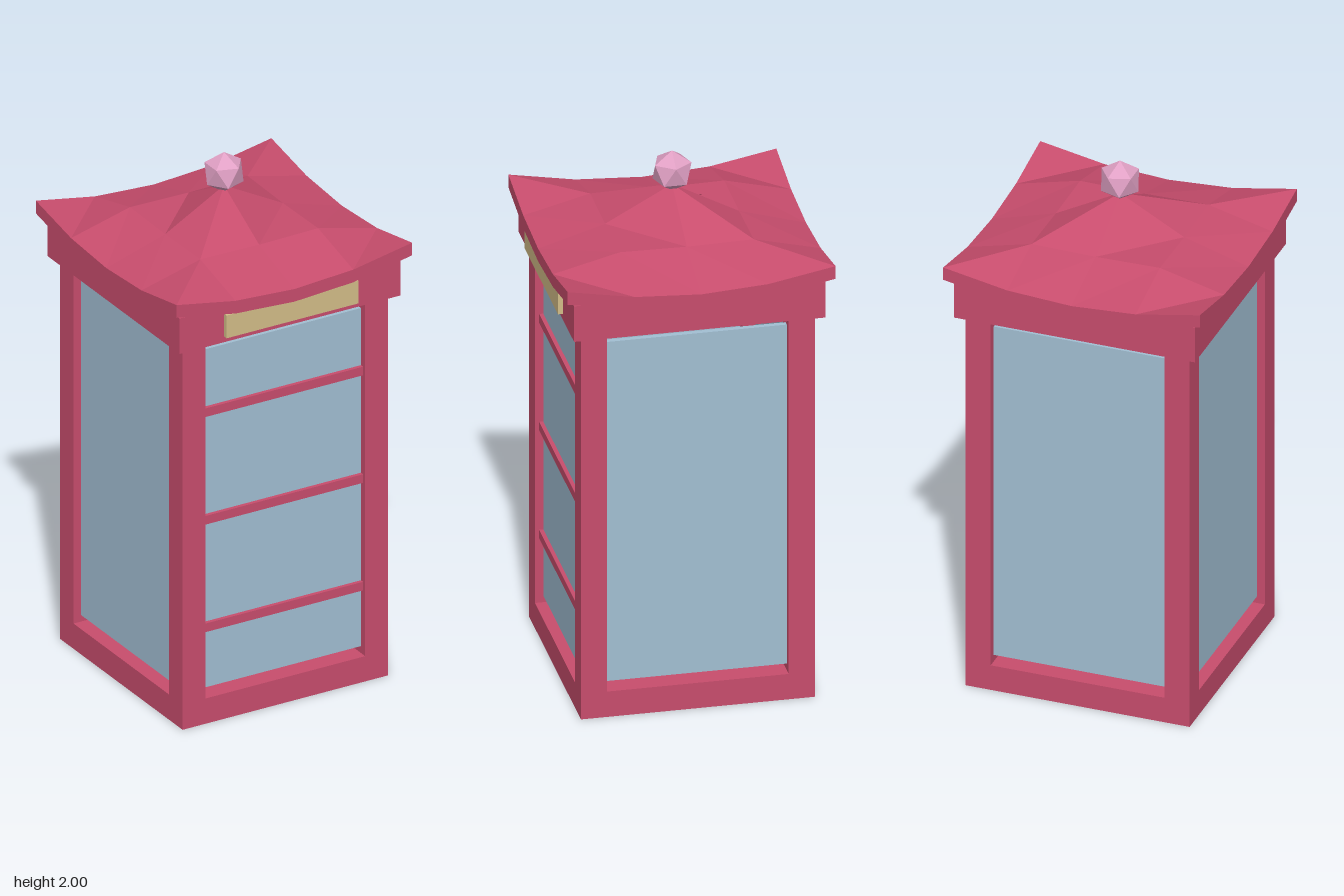
import * as THREE from 'three';

const make = (name, hex) => {
  const m = new THREE.MeshStandardMaterial({ color: hex });
  m.name = name;
  return m;
};

export function createModel() {
  const red = make('rose red', 0xc84d6d);
  const glass = make('pale blue glass', 0xa2bfd3);
  const cream = make('cream', 0xd3bd88);
  const pink = make('pink', 0xe0a0c4);

  const model = new THREE.Group();
  model.name = 'booth';
  const add = (name, geometry, material, x, y, z, parent = model) => {
    const mesh = new THREE.Mesh(geometry, material);
    mesh.name = name;
    mesh.position.set(x, y, z);
    parent.add(mesh);
    return mesh;
  };
  const box = (name, material, w, y0, y1, d, x = 0, z = 0, parent = model) =>
    add(name, new THREE.BoxGeometry(w, y1 - y0, d), material, x, (y0 + y1) / 2, z, parent);

  // Base slab, corner posts and header
  box('base', red, 0.85, 0, 0.1, 0.85);
  for (const sx of [-1, 1])
    for (const sz of [-1, 1])
      box('cornerPost', red, 0.095, 0.1, 1.51, 0.095, sx * 0.3775, sz * 0.3775);
  box('header', red, 0.914, 1.51, 1.65, 0.914);

  // Four recessed window panels, with small gaps above and below
  for (let i = 0; i < 4; i++) {
    const side = new THREE.Group();
    side.name = 'windowSide';
    side.rotation.y = (i * Math.PI) / 2;
    box('windowPanel', glass, 0.662, 0.127, 1.466, 0.02, 0, 0.385, side);
    model.add(side);
  }

  // Crossbars on the front door
  for (const y of [0.371, 0.797, 1.223])
    box('doorBar', red, 0.662, y - 0.017, y + 0.017, 0.04, 0, 0.39);

  // Blank sign board above the door
  box('signBoard', cream, 0.546, 1.533, 1.623, 0.03, 0, 0.46);

  // Sweeping roof: slab rising to a peak, with corners curling up
  const half = 0.487;
  let roof = new THREE.BoxGeometry(half * 2, 0.05, half * 2, 4, 1, 4);
  const p = roof.attributes.position;
  for (let i = 0; i < p.count; i++) {
    const u = Math.abs(p.getX(i)) / half;
    const v = Math.abs(p.getZ(i)) / half;
    const rise = 0.204 * Math.pow(Math.max(0, 1 - Math.max(u, v)), 1.5);
    p.setY(i, p.getY(i) + rise + 0.06 * u * u * v * v);
  }
  roof = roof.toNonIndexed();
  roof.computeVertexNormals();
  add('roof', roof, red, 0, 1.639, 0);

  // Faceted ball on the peak, standing on a vertex
  const ball = new THREE.IcosahedronGeometry(0.078, 0);
  ball.rotateZ(-Math.atan(2 / (1 + Math.sqrt(5))));
  add('finial', ball, pink, 0, 1.922, 0);

  return model;
}
